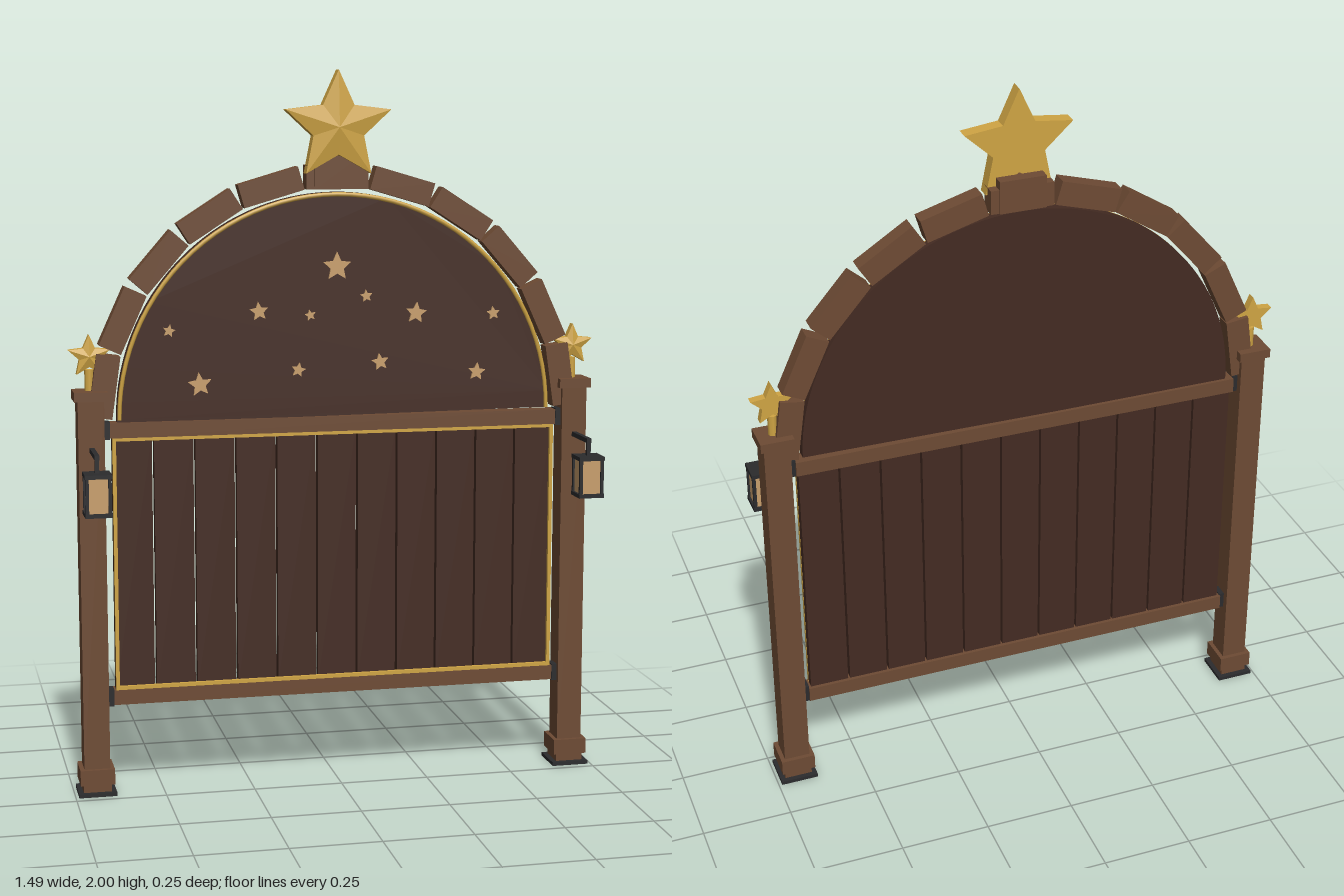
import * as THREE from 'three';

const mat = (name, color) => new THREE.MeshStandardMaterial({ name, color });

export function createModel() {
  const wood = mat('oak', 0x6e4b34);
  const dark = mat('darkOak', 0x442b22);
  const gold = mat('gold', 0xd0a544);
  const iron = mat('iron', 0x2b2b2d);
  const glow = mat('warmGlass', 0xc99f6c);

  const root = new THREE.Group();
  root.name = 'starGate';
  const Z = -0.076; // depth of the gate's middle plane

  function add(name, geo, material, x, y, z, parent = root) {
    const m = new THREE.Mesh(geo, material);
    m.name = name;
    m.position.set(x, y, z);
    parent.add(m);
    return m;
  }
  const box = (name, material, w, h, d, x, y, z, parent) =>
    add(name, new THREE.BoxGeometry(w, h, d), material, x, y, z, parent);

  // five-pointed star: flat back at z = 0, straight rim, faceted front rising to a peak
  function starGeometry(R, depth, peak, inner = 0.47) {
    const rim = (i, z) => {
      const a = Math.PI / 2 + (i * Math.PI) / 5;
      const r = i % 2 ? R * inner : R;
      return [r * Math.cos(a), r * Math.sin(a), z];
    };
    const p = [];
    for (let i = 0; i < 10; i++) {
      const a = rim(i, depth), b = rim(i + 1, depth), c = rim(i, 0), d = rim(i + 1, 0);
      p.push(...[0, 0, depth + peak], ...a, ...b); // front
      p.push(...a, ...c, ...d, ...a, ...d, ...b); // rim
      p.push(...[0, 0, 0], ...d, ...c); // back
    }
    const g = new THREE.BufferGeometry();
    g.setAttribute('position', new THREE.Float32BufferAttribute(p, 3));
    g.computeVertexNormals();
    return g;
  }

  // posts with feet, caps, finials, hinges and lanterns
  for (const s of [-1, 1]) {
    const x = s * 0.688;
    const post = new THREE.Group();
    post.name = s > 0 ? 'leftPost' : 'rightPost';
    post.position.x = x;
    root.add(post);
    box('footPlate', iron, 0.106, 0.01, 0.106, 0, 0.005, Z, post);
    box('footStep', wood, 0.078, 0.024, 0.078, 0, 0.022, Z, post);
    box('footBlock', wood, 0.096, 0.044, 0.096, 0, 0.054, Z, post);
    box('postShaft', wood, 0.072, 1.04, 0.072, 0, 0.592, Z, post);
    box('postCap', wood, 0.092, 0.026, 0.092, 0, 1.122, Z, post);
    add('finialStem', new THREE.CylinderGeometry(0.013, 0.013, 0.06, 8), gold, 0, 1.163, Z, post);
    add('finialStar', starGeometry(0.06, 0.024, 0.008), gold, 0, 1.229, Z - 0.012, post);
    for (const y of [0.274, 1.025])
      box('hinge', iron, 0.016, 0.048, 0.04, -s * 0.044, y, Z + 0.004, post);

    // lantern hanging from an iron bracket
    const lamp = new THREE.Group();
    lamp.name = 'lantern';
    lamp.position.set(0, 0.876, 0.089);
    post.add(lamp);
    box('bracketArm', iron, 0.013, 0.013, 0.134, 0, 0.1, -0.06, lamp);
    box('bracketDrop', iron, 0.011, 0.05, 0.011, 0, 0.077, 0, lamp);
    box('lanternTop', iron, 0.073, 0.011, 0.073, 0, 0.0525, 0, lamp);
    box('lanternBase', iron, 0.073, 0.011, 0.073, 0, -0.0525, 0, lamp);
    box('lanternGlass', glow, 0.06, 0.096, 0.06, 0, 0, 0, lamp);
    for (const cx of [-1, 1])
      for (const cz of [-1, 1])
        box('lanternCorner', iron, 0.009, 0.096, 0.009, cx * 0.0305, 0, cz * 0.0305, lamp);
  }

  // plank panel between two rails
  box('bottomRail', wood, 1.274, 0.042, 0.046, 0, 0.274, Z);
  box('topRail', wood, 1.274, 0.042, 0.046, 0, 1.025, Z);
  const pitch = 0.115;
  for (let i = -5; i <= 5; i++)
    box('plank', dark, pitch - 0.006, 0.72, 0.026, i * pitch, 0.65, Z);

  // gold trim framing the planks
  const trimZ = Z + 0.017;
  for (const y of [0.3, 1.0]) box('trimBar', gold, 1.26, 0.01, 0.012, 0, y, trimZ);
  for (const s of [-1, 1]) box('trimSide', gold, 0.01, 0.7, 0.012, s * 0.625, 0.65, trimZ);

  // half-round panel and its gold edge
  const archY = 1.053;
  const half = new THREE.Shape();
  half.moveTo(0.615, -0.012);
  half.absarc(0, 0, 0.615, 0, Math.PI, false);
  half.lineTo(-0.615, -0.012);
  half.closePath();
  const halfGeo = new THREE.ExtrudeGeometry(half, { depth: 0.026, bevelEnabled: false, curveSegments: 40 });
  add('archPanel', halfGeo, dark, 0, archY, Z - 0.013);
  add('archTrim', new THREE.TorusGeometry(0.609, 0.006, 6, 48, Math.PI), gold, 0, archY, trimZ);

  // arch of straight blocks
  for (let i = -5; i <= 5; i++) {
    const a = (i * Math.PI) / 11;
    const block = box('archBlock', wood, 0.174, 0.066, 0.047,
      -0.656 * Math.sin(a), archY + 0.656 * Math.cos(a), Z);
    block.rotation.z = a;
  }
  box('keystone', wood, 0.128, 0.09, 0.058, 0, 1.721, Z);

  // crowning star
  add('crownStar', starGeometry(0.155, 0.038, 0.013, 0.48), gold, 0, 1.845, -0.073);

  // small stars scattered on the half-round panel: x, y, radius, tilt
  const sky = [
    [0, 1.463, 0.041, 0], [-0.22, 1.343, 0.027, 0.1], [0.226, 1.33, 0.031, -0.1],
    [-0.076, 1.33, 0.016, 0.2], [0.083, 1.38, 0.018, 0.1], [0.45, 1.325, 0.02, 0.1],
    [-0.47, 1.295, 0.018, -0.2], [-0.386, 1.145, 0.034, 0.1], [-0.11, 1.178, 0.021, -0.2],
    [0.123, 1.195, 0.025, 0.15], [0.403, 1.16, 0.026, -0.1],
  ];
  for (const [x, y, r, tilt] of sky)
    add('skyStar', starGeometry(r, 0.008, 0), glow, x, y, Z + 0.0125).rotation.z = tilt;

  return root;
}
